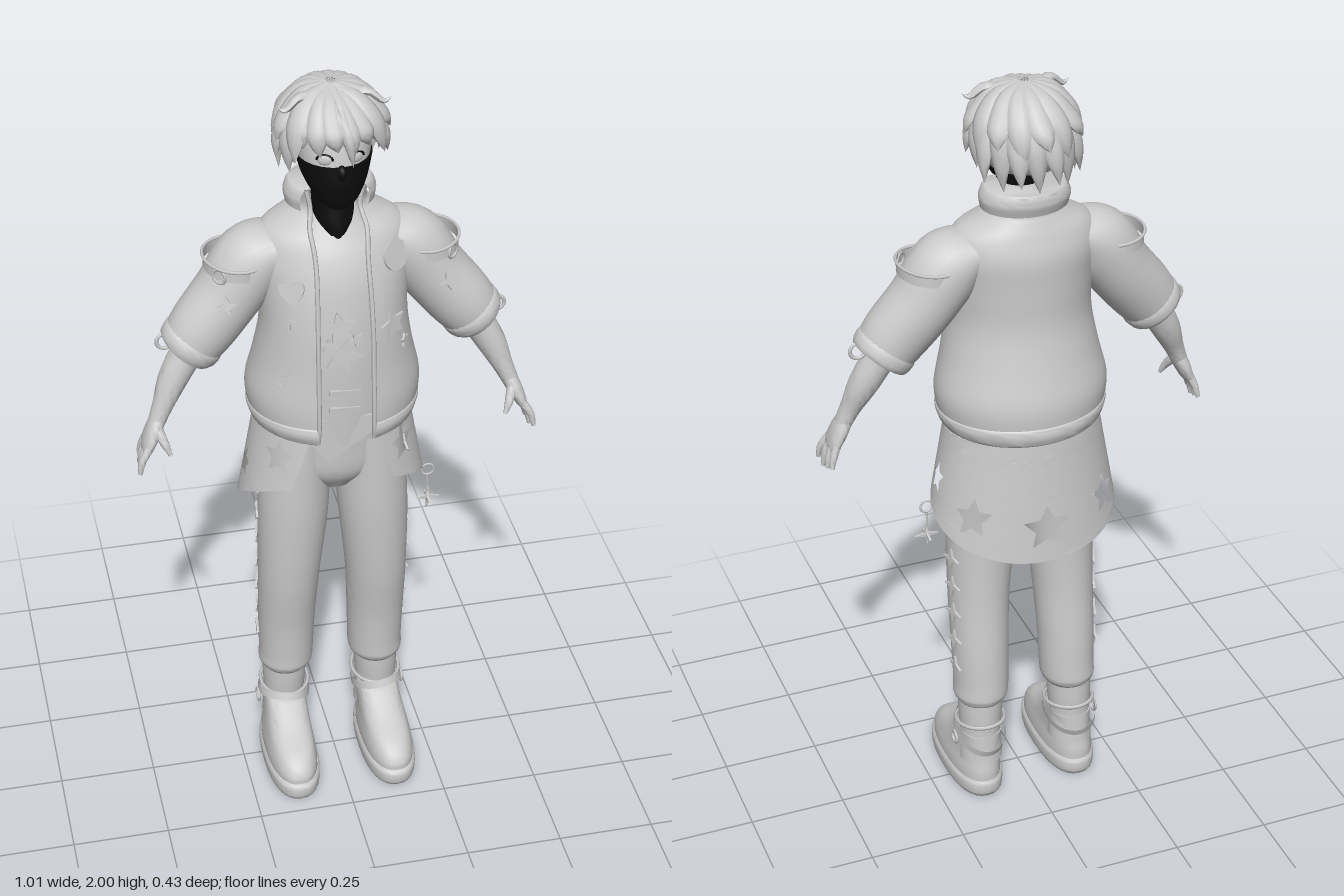
import * as THREE from 'three';
import { toCreasedNormals } from 'three/addons/utils/BufferGeometryUtils.js';

const V = (a) => new THREE.Vector3(a[0], a[1], a[2] || 0);
const grey = new THREE.MeshStandardMaterial({ color: 0xcccccc, side: THREE.DoubleSide });
const black = new THREE.MeshStandardMaterial({ color: 0x0c0c0c, side: THREE.DoubleSide });

export function createModel() {
  const model = new THREE.Group();
  const add = (name, geo, mat = grey) => {
    const m = new THREE.Mesh(geo, mat);
    m.name = name;
    model.add(m);
    return m;
  };

  // Smooth skin over elliptical rings; radii are [side, depth, half opening angle]
  function skin(path, radii, { seg = 24, rows = 24, flat = false, ref = [0, 0, 1], cap = true, p = 2, edges } = {}) {
    const c = new THREE.CatmullRomCurve3(path.map(V), false, 'catmullrom');
    const r = new THREE.CatmullRomCurve3(radii.map(V), false, 'catmullrom');
    const pos = [], idx = [], e = cap ? 1 : 0;
    const bend = (v) => Math.sign(v) * Math.abs(v) ** (2 / p);
    for (let k = -e; k <= rows + e; k++) {
      const t = THREE.MathUtils.clamp(k / rows, 0, 1), end = k < 0 || k > rows ? 0 : 1;
      const o = c.getPoint(t), q = r.getPoint(t), T = c.getTangent(t);
      if (flat) T.set(0, Math.sign(T.y) || 1, 0);
      const s = T.clone().cross(V(ref)).normalize(), u = s.clone().cross(T).normalize();
      for (let j = 0; j <= seg; j++) {
        const a = q.z + (2 * Math.PI - 2 * q.z) * j / seg;
        const v = o.clone().addScaledVector(s, bend(Math.sin(a)) * Math.max(0, q.x) * end)
          .addScaledVector(u, bend(Math.cos(a)) * Math.max(0, q.y) * end);
        pos.push(v.x, v.y, v.z);
        if (edges && (j === 0 || j === seg)) edges[j ? 1 : 0].push(v);
      }
    }
    const w = seg + 1;
    for (let i = 0; i < rows + 2 * e; i++) for (let j = 0; j < seg; j++) {
      const a = i * w + j;
      idx.push(a, a + 1, a + w, a + 1, a + w + 1, a + w);
    }
    const g = new THREE.BufferGeometry();
    g.setAttribute('position', new THREE.Float32BufferAttribute(pos, 3));
    g.setIndex(idx);
    return toCreasedNormals(g, 0.9);
  }
  // Horizontal rings from rows of [y, x, z, rx, rz, opening]
  const stack = (t, o = {}) => skin(t.map((a) => [a[1], a[0], a[2]]), t.map((a) => [a[3], a[4], a[5] || 0]), { flat: true, ...o });

  const starPoints = (r, n = 5, inner = 0.48, cx = 0, cy = 0) => Array.from({ length: 2 * n }, (_, i) => {
    const a = Math.PI / 2 + i * Math.PI / n, q = i % 2 ? r * inner : r;
    return new THREE.Vector2(cx + q * Math.cos(a), cy + q * Math.sin(a));
  });
  const plate = (shape, depth = 0.006) => new THREE.ExtrudeGeometry(shape, { depth, bevelEnabled: false, curveSegments: 10 });
  const star = (r, n, inner) => plate(new THREE.Shape(starPoints(r, n, inner)));
  // Lays a piece on a surface by casting a ray at it
  function stick(piece, target, from, dir, roll = 0) {
    const hit = new THREE.Raycaster(V(from), V(dir)).intersectObject(target)[0];
    if (!hit) { model.remove(piece); return; }
    const n = hit.face.normal.clone();
    if (n.dot(V(dir)) > 0) n.negate();
    piece.position.copy(hit.point);
    piece.lookAt(hit.point.clone().add(n));
    piece.rotateZ(roll);
  }

  // Head, mask and neck
  const face = [[1.725, 0, 0.05, 0.025, 0.025], [1.745, 0, 0.035, 0.048, 0.052], [1.79, 0, 0.012, 0.073, 0.082],
    [1.84, 0, -0.005, 0.088, 0.094], [1.9, 0, -0.025, 0.094, 0.1], [1.96, 0, -0.035, 0.07, 0.08], [1.985, 0, -0.035, 0.02, 0.02]];
  add('head', stack(face));
  const mask = add('mask', stack(face.slice(0, 4).map(([y, x, z, a, b]) => [y - 0.004, x, z + 0.002, a + 0.004, b + 0.005])), black);
  add('maskNose', new THREE.SphereGeometry(0.016, 12, 8).scale(0.8, 1.3, 1).translate(0, 1.82, 0.09), black);
  add('neckCover', stack([[1.62, 0, 0.03, 0.012, 0.03], [1.66, 0, 0, 0.045, 0.055], [1.72, 0, -0.01, 0.052, 0.055], [1.78, 0, -0.01, 0.06, 0.06]]), black);
  add('chest', stack([[1.5, 0, -0.02, 0.12, 0.1], [1.6, 0, -0.02, 0.12, 0.085], [1.65, 0, -0.03, 0.08, 0.07], [1.68, 0, -0.03, 0.045, 0.05]]));
  for (const s of [1, -1]) {
    add('eye', new THREE.SphereGeometry(0.016, 14, 10).scale(1.1, 0.85, 0.4).rotateY(s * 0.4).translate(s * 0.038, 1.853, 0.077));
    add('eyelash', new THREE.TorusGeometry(0.019, 0.003, 6, 12, Math.PI).scale(1, 0.7, 1).rotateY(s * 0.4).translate(s * 0.038, 1.855, 0.081), black);
    add('ear', new THREE.SphereGeometry(0.022, 12, 8).scale(0.4, 1.2, 0.8).translate(s * 0.09, 1.83, -0.02));
  }

  // Hair: cap, back shell and tapered locks
  const onHead = (f, pol, k = 1) => [0.112 * k * Math.sin(pol) * Math.sin(f), 1.873 + 0.115 * k * Math.cos(pol), -0.035 + 0.122 * k * Math.sin(pol) * Math.cos(f)];
  const dome = (name, ...a) => add(name, new THREE.SphereGeometry(1, 32, 16, ...a).scale(0.112, 0.115, 0.122).translate(0, 1.873, -0.035));
  dome('hairCap', 0, 2 * Math.PI, 0, 1.42);
  dome('hairBack', Math.PI - 0.2, Math.PI + 0.4, 0, 2.3);
  function lock(f, tipY, flare, w, reach = 1.25, k = 1.03) {
    const tip = [0.112 * flare * Math.sin(f + 0.1), tipY, -0.035 + 0.122 * flare * Math.cos(f + 0.1)];
    const a = onHead(f, reach, k + 0.02);
    const mid = a.map((v, i) => (v + tip[i]) / 2 * (i === 1 ? 1 : 1.03));
    add('hairLock', skin([onHead(f - 0.15, 0.1, k - 0.02), onHead(f - 0.08, reach * 0.55, k), a, mid, tip],
      [[0.006, 0.012], [0.013, w * 0.8], [0.016, w], [0.013, w * 0.75], [0, 0]],
      { seg: 10, rows: 14, cap: false, ref: [Math.cos(f), 0, -Math.sin(f)] }));
  }
  for (let i = 0; i < 18; i++) {
    const f = (i + 0.5) / 18 * 2 * Math.PI, c = Math.cos(f), odd = i % 2;
    const y = c > 0.6 ? 1.862 + 0.014 * odd : c > -0.1 ? 1.80 + 0.02 * odd : 1.765 + 0.018 * odd;
    lock(f, y, c > 0.6 ? 1.06 : 1.08 + 0.12 * odd, 0.027, c > 0.6 ? 1.15 : 1.4);
  }
  for (let i = 0; i < 11; i++) {
    const f = 0.9 + i * 0.44, odd = i % 2;
    lock(f, 1.84 + 0.035 * odd, 1.2 + 0.06 * odd, 0.03, 1.1, 1.07);
  }
  lock(0.12, 1.835, 1.1, 0.014, 1.2, 1.05);
  for (const s of [1, -1]) add('hairWisp', skin([[s * 0.03, 1.97, -0.02], [s * 0.08, 1.98, 0], [s * 0.115, 1.955, 0.01], [s * 0.135, 1.965, 0.012]],
    [[0.01, 0.016], [0.01, 0.014], [0.007, 0.009], [0, 0]], { seg: 8, rows: 10 }));

  // Shirt with pointed hem
  const shirt = add('shirt', stack([[1.08, 0, -0.02, 0.17, 0.145], [1.2, 0, -0.02, 0.175, 0.15], [1.35, 0, -0.01, 0.16, 0.14],
    [1.5, 0, -0.015, 0.16, 0.128], [1.58, 0, -0.02, 0.15, 0.108], [1.635, 0, -0.03, 0.1, 0.085]], { cap: false }));
  add('shirtPoint', plate(new THREE.Shape([[-0.11, 1.16], [-0.08, 1.09], [-0.035, 1.03], [0.02, 1.075], [0.07, 1.11], [0.1, 1.16]].map((a) => new THREE.Vector2(...a)))).translate(0, 0, 0.118));
  for (const [x, y, r, roll] of [[-0.01, 1.42, 0.045, 0.2], [-0.005, 1.345, 0.05, -0.3], [0.03, 1.385, 0.02, 0.5], [-0.04, 1.375, 0.02, 0]])
    stick(add('shirtStar', star(r)), shirt, [x, y, 2], [0, 0, -1], roll);
  for (const y of [1.19, 1.24]) stick(add('shirtStripe', new THREE.BoxGeometry(0.08, 0.012, 0.008)), shirt, [0, y, 2], [0, 0, -1], -0.12);

  // Open jacket with hem, collar and edge piping
  const edges = [[], []];
  const jacket = add('jacket', stack([[1.11, 0, -0.018, 0.2, 0.178, 0.36], [1.15, 0, -0.018, 0.213, 0.183, 0.33], [1.21, 0, -0.018, 0.218, 0.182, 0.32],
    [1.3, 0, -0.01, 0.198, 0.168, 0.35], [1.4, 0, -0.003, 0.182, 0.155, 0.38], [1.5, 0, -0.012, 0.185, 0.145, 0.36],
    [1.58, 0, -0.025, 0.19, 0.132, 0.34], [1.635, 0, -0.03, 0.172, 0.112, 0.4], [1.67, 0, -0.038, 0.115, 0.09, 0.6],
    [1.695, 0, -0.04, 0.088, 0.08, 0.75], [1.74, 0, -0.045, 0.095, 0.085, 0.8]], { seg: 48, rows: 50, cap: false, edges }));
  for (const e of edges) add('jacketPiping', new THREE.TubeGeometry(new THREE.CatmullRomCurve3(e), 60, 0.006, 6));
  add('jacketHem', stack([[1.105, 0, -0.018, 0.198, 0.178, 0.36], [1.115, 0, -0.018, 0.207, 0.186, 0.35], [1.145, 0, -0.018, 0.217, 0.188, 0.33], [1.155, 0, -0.018, 0.213, 0.182, 0.33]], { seg: 48, rows: 8, cap: false }));
  add('collarFold', stack([[1.69, 0, -0.042, 0.108, 0.088, 0.85], [1.72, 0, -0.045, 0.112, 0.094, 0.85], [1.745, 0, -0.045, 0.098, 0.088, 0.82], [1.73, 0, -0.045, 0.088, 0.08, 0.82]], { rows: 12, cap: false }));
  const heart = new THREE.Shape().moveTo(0, -0.035).bezierCurveTo(-0.05, 0, -0.035, 0.04, 0, 0.015).bezierCurveTo(0.035, 0.04, 0.05, 0, 0, -0.035);
  const disc = new THREE.CylinderGeometry(0.038, 0.038, 0.01, 28).rotateX(Math.PI / 2);
  const bolt = new THREE.Shape([[-0.02, -0.04], [0.012, -0.005], [0, 0], [0.02, 0.045], [-0.012, 0.008], [0, 0]].map((a) => new THREE.Vector2(...a)));
  for (const [name, geo, x, y, roll] of [['heartBadge', plate(heart), -0.12, 1.52, 0.2], ['roundBadge', disc, 0.135, 1.575, 0],
    ['starBadge', star(0.04), 0.12, 1.41, 0.2], ['smallStarBadge', star(0.018), 0.155, 1.345, 0], ['smallStarBadge', star(0.02, 4, 0.35), -0.13, 1.44, 0.3],
    ['boltBadge', plate(bolt), -0.155, 1.27, -0.4]]) stick(add(name, geo), jacket, [x, y, 2], [0, 0, -1], roll);

  // Flared shirt tail with star cutouts, drawn flat and wrapped round the hips
  const W = 0.23, N = 60, outline = [], around = (g, i) => g + (2 * Math.PI - 2 * g) * i / N;
  for (let i = N; i >= 0; i--) outline.push(new THREE.Vector2(W * around(0.4, i), 1.14));
  for (let i = 0; i <= N; i++) { const a = around(0.62, i); outline.push(new THREE.Vector2(W * a, 0.875 + 0.1 * Math.cos(a))); }
  const flat = new THREE.Shape(outline);
  for (const [a, y, r] of [[0.85, 1.04, 0.052], [1.55, 0.965, 0.042], [2.3, 0.9, 0.056], [Math.PI, 0.87, 0.062]])
    for (const t of a === Math.PI ? [a] : [a, 2 * Math.PI - a]) flat.holes.push(new THREE.Path(starPoints(r, 5, 0.5, W * t, y)));
  const src = new THREE.ShapeGeometry(flat).toNonIndexed().attributes.position, out = [];
  const wrap = (v) => {
    const a = v.x / W, k = (1.14 - v.y) / 0.36;
    return [(0.192 + 0.065 * k) * Math.sin(a), v.y, -0.025 + (0.162 + 0.025 * k) * Math.cos(a)];
  };
  const split = (a, b, c) => {
    const l = [a.distanceTo(b), b.distanceTo(c), c.distanceTo(a)], m = Math.max(...l);
    if (m < 0.03) { out.push(...wrap(a), ...wrap(b), ...wrap(c)); return; }
    if (l[1] === m) [a, b, c] = [b, c, a]; else if (l[2] === m) [a, b, c] = [c, a, b];
    const h = a.clone().add(b).multiplyScalar(0.5);
    split(a, h, c); split(h, b, c);
  };
  const at = (i) => new THREE.Vector3().fromBufferAttribute(src, i);
  for (let i = 0; i < src.count; i += 3) split(at(i), at(i + 1), at(i + 2));
  const tail = new THREE.BufferGeometry().setAttribute('position', new THREE.Float32BufferAttribute(out, 3));
  add('shirtTail', toCreasedNormals(tail, 1));
  // Charm hanging from the tail
  add('charmRing', new THREE.TorusGeometry(0.016, 0.003, 6, 18).translate(0.25, 0.875, -0.01));
  add('charmChain', new THREE.CylinderGeometry(0.002, 0.002, 0.05, 6).translate(0.25, 0.837, -0.01));
  add('charm', star(0.032, 4, 0.25).translate(0.25, 0.79, -0.01));
  add('charmCross', star(0.032, 4, 0.25).rotateY(Math.PI / 2).translate(0.247, 0.79, -0.007));

  add('hips', stack([[0.9, 0, -0.02, 0.06, 0.07], [0.96, 0, -0.02, 0.15, 0.105], [1.05, 0, -0.025, 0.175, 0.12], [1.16, 0, -0.02, 0.165, 0.125]]));

  for (const s of [1, -1]) {
    const mx = (pts) => pts.map(([x, y, z]) => [s * x, y, z]);
    // Arms: sleeve, cuff, bands
    const sleeve = add('sleeve', skin(mx([[0.12, 1.6, -0.03], [0.19, 1.555, -0.03], [0.255, 1.465, -0.025], [0.32, 1.385, -0.015], [0.358, 1.335, -0.012]]),
      [[0.045, 0.08], [0.088, 0.09], [0.085, 0.087], [0.083, 0.08], [0.073, 0.072]], { seg: 28 }));
    add('cuff', skin(mx([[0.337, 1.363, -0.013], [0.346, 1.351, -0.013], [0.361, 1.331, -0.012], [0.364, 1.327, -0.012]]), [[0.076, 0.074], [0.081, 0.079], [0.077, 0.076], [0.066, 0.064]], { rows: 8, cap: false }));
    add('armBand', new THREE.CylinderGeometry(1, 1, 0.03, 32, 1, true).scale(0.077, 1, 0.088).rotateZ(s * 0.08).translate(s * 0.235, 1.553, -0.025));
    add('armBandTrim', new THREE.TorusGeometry(1, 0.05, 6, 32).rotateX(Math.PI / 2).scale(0.079, 0.08, 0.09).rotateZ(s * 0.08).translate(s * 0.235, 1.568, -0.025));
    add('armBandBuckle', new THREE.TorusGeometry(0.018, 0.004, 6, 16).rotateY(s * 0.8).translate(s * 0.285, 1.55, 0.04));
    add('cuffStrap', new THREE.BoxGeometry(0.1, 0.008, 0.03).rotateZ(-s * 0.93).translate(s * 0.388, 1.415, -0.015));
    add('cuffRing', new THREE.TorusGeometry(0.02, 0.005, 6, 18).translate(s * 0.415, 1.355, -0.012));
    stick(add('sleeveStar', star(0.026, 4, 0.35)), sleeve, [s * 0.27, 1.48, 2], [0, 0, -1], 0.2);
    // Forearm and hand
    add('forearm', skin(mx([[0.33, 1.375, -0.012], [0.395, 1.265, 0], [0.43, 1.19, 0.015], [0.45, 1.145, 0.022]]), [[0.042, 0.042], [0.038, 0.038], [0.026, 0.028], [0.021, 0.026]]));
    add('palm', skin(mx([[0.443, 1.16, 0.02], [0.457, 1.13, 0.025], [0.473, 1.095, 0.03], [0.481, 1.075, 0.031]]), [[0.02, 0.025], [0.02, 0.037], [0.016, 0.042], [0.01, 0.036]], { seg: 16, rows: 12 }));
    for (let i = 0; i < 4; i++) {
      const d = i - 1.5, len = 1 - 0.14 * Math.abs(d - 0.4);
      add('finger', skin(mx([[0.474, 1.095, 0.03 + d * 0.02], [0.489 + 0.003 * d, 1.095 - 0.035 * len, 0.031 + d * 0.025], [0.497 + 0.003 * d, 1.095 - 0.075 * len, 0.03 + d * 0.029]]),
        [[0.011, 0.011], [0.0095, 0.0095], [0.0055, 0.0055]], { seg: 10, rows: 8 }));
    }
    add('thumb', skin(mx([[0.45, 1.14, 0.04], [0.437, 1.11, 0.065], [0.424, 1.08, 0.078]]), [[0.013, 0.015], [0.011, 0.011], [0.005, 0.005]], { seg: 10, rows: 8 }));

    // Trouser leg with stitched crosses down the outside
    const leg = add('trouserLeg', stack([[1.08, s * 0.085, -0.025, 0.085, 0.115], [0.95, s * 0.097, -0.018, 0.09, 0.106], [0.8, s * 0.105, -0.01, 0.09, 0.094],
      [0.6, s * 0.116, -0.018, 0.08, 0.086], [0.45, s * 0.12, -0.035, 0.075, 0.08], [0.34, s * 0.121, -0.043, 0.072, 0.078], [0.3, s * 0.123, -0.045, 0.071, 0.077], [0.28, s * 0.124, -0.046, 0.06, 0.064]], { seg: 28, rows: 36 }));
    for (let i = 0; i < 8; i++) stick(add('legCross', star(0.03, 4, 0.32)), leg, [s * 2, 0.4 + i * 0.08, -0.055 + 0.005 * i], [-s, 0, 0]);
    // Boot, sole and ankle straps
    add('bootShaft', stack([[0.1, s * 0.128, -0.055, 0.058, 0.063], [0.18, s * 0.127, -0.052, 0.054, 0.06], [0.24, s * 0.126, -0.05, 0.057, 0.063], [0.3, s * 0.125, -0.048, 0.058, 0.064]]));
    add('bootFoot', stack([[0.03, s * 0.132, 0.04, 0.066, 0.163], [0.07, s * 0.132, 0.039, 0.066, 0.162], [0.105, s * 0.131, 0.025, 0.061, 0.143], [0.14, s * 0.129, -0.012, 0.057, 0.103], [0.185, s * 0.127, -0.048, 0.054, 0.064]], { p: 2.4, seg: 32 }));
    add('bootSole', stack([[0, s * 0.132, 0.042, 0.066, 0.163], [0.012, s * 0.132, 0.042, 0.071, 0.171], [0.04, s * 0.132, 0.042, 0.072, 0.172], [0.05, s * 0.132, 0.04, 0.067, 0.165]], { p: 2.4, seg: 32, rows: 8 }));
    add('ankleStrap', new THREE.CylinderGeometry(1, 1, 0.022, 28, 1, true).scale(0.068, 1, 0.088).rotateX(-0.38).rotateZ(s * 0.12).translate(s * 0.128, 0.178, -0.05));
    add('upperAnkleStrap', new THREE.TorusGeometry(1, 0.07, 6, 28).rotateX(Math.PI / 2).scale(0.064, 0.08, 0.07).rotateX(0.12).translate(s * 0.126, 0.215, -0.05));
    add('ankleRing', new THREE.TorusGeometry(0.017, 0.004, 6, 16).rotateY(Math.PI / 2).translate(s * 0.198, 0.165, -0.05));
  }
  return model;
}
